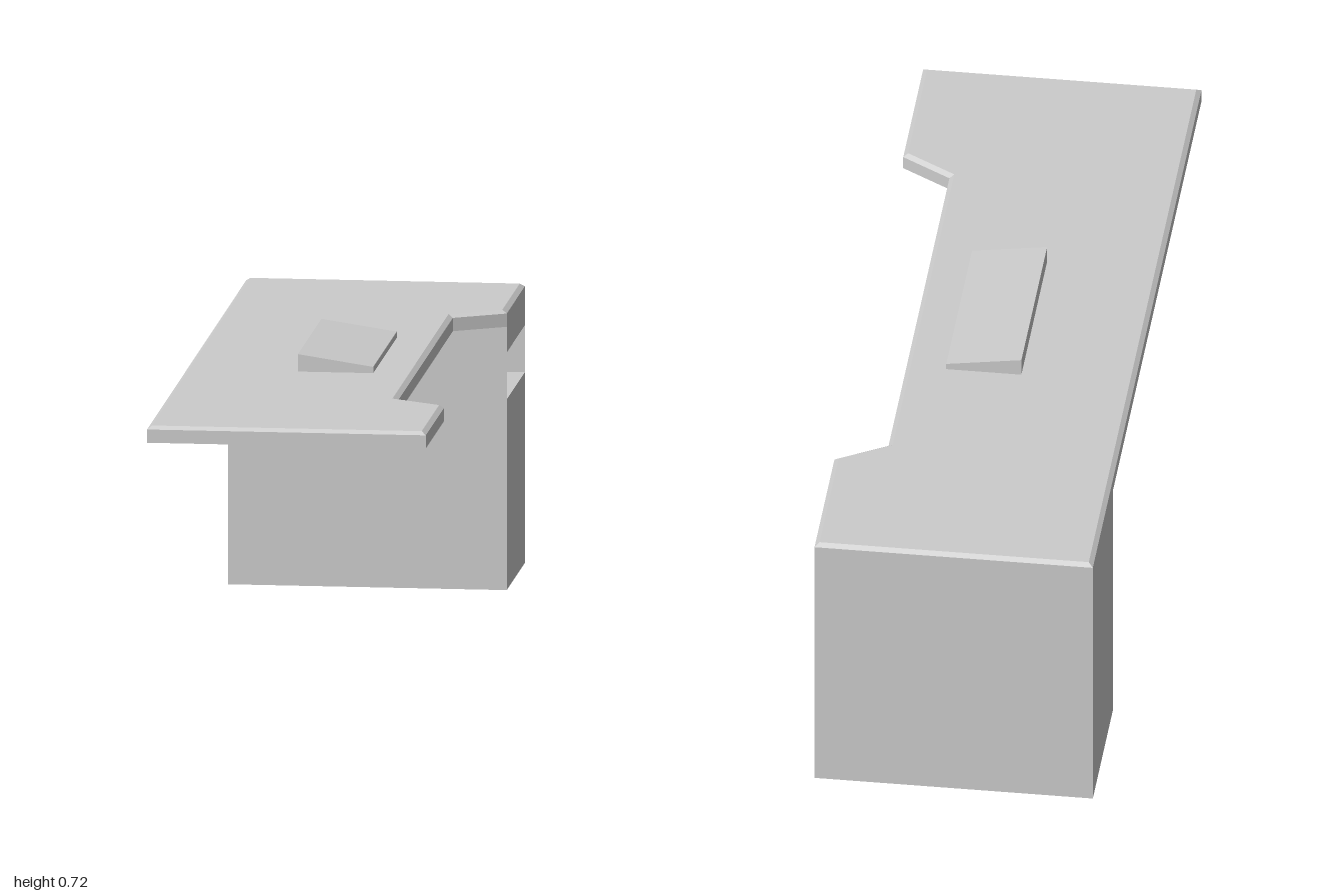
import * as THREE from 'three';

const material = new THREE.MeshStandardMaterial({ color: 0xcccccc, flatShading: true });

function addMesh(parent, name, geometry) {
  const mesh = new THREE.Mesh(geometry, material);
  mesh.name = name;
  parent.add(mesh);
  return mesh;
}

// Desk outline as (x, -z), counter-clockwise from above; inset narrows it for the bevel.
function deskOutline(inset) {
  const outer = 0.333 - inset, inner = 0.213 - inset, end = 1 - inset;
  const a = 0.633 + inset * 0.56, b = 0.56 + inset * 0.56;
  const right = [[outer, end], [outer, a], [inner, b]];
  return [
    [-outer, -end],
    ...right.map(([x, z]) => [x, -z]),
    ...right.slice().reverse(),
    [-outer, end],
  ].map(([x, y]) => new THREE.Vector2(x, y));
}

// Closed solid from stacked outlines: levels = [[height, outline], ...].
function loft(levels) {
  const positions = [];
  const put = (level, i) => {
    const [y, outline] = levels[level];
    const p = outline[i % outline.length];
    positions.push(p.x, y, -p.y);
  };
  const last = levels.length - 1;
  for (let l = 0; l < last; l++) {
    for (let i = 0; i < levels[l][1].length; i++) {
      put(l, i); put(l, i + 1); put(l + 1, i + 1);
      put(l, i); put(l + 1, i + 1); put(l + 1, i);
    }
  }
  for (const [a, b, c] of THREE.ShapeUtils.triangulateShape(levels[0][1], [])) {
    put(0, c); put(0, b); put(0, a);
    put(last, a); put(last, b); put(last, c);
  }
  const geometry = new THREE.BufferGeometry();
  geometry.setAttribute('position', new THREE.Float32BufferAttribute(positions, 3));
  geometry.computeVertexNormals();
  return geometry;
}

// Side profile in x and y, extruded between two z positions.
function extrudeProfile(points, z0, z1) {
  const shape = new THREE.Shape(points.map(([x, y]) => new THREE.Vector2(x, y)));
  const geometry = new THREE.ExtrudeGeometry(shape, { depth: z1 - z0, bevelEnabled: false });
  return geometry.translate(0, 0, z0);
}

export function createModel() {
  const desk = new THREE.Group();
  desk.name = 'desk';

  // Tabletop with a knee cut-out and a fine bevel on the upper edge
  addMesh(desk, 'tabletop', loft([
    [0.635, deskOutline(0)],
    [0.667, deskOutline(0)],
    [0.675, deskOutline(0.011)],
  ]));

  // Cabinet under one end, with an open compartment on its +x side
  const back = -1, front = -0.633, w = 0.333;
  const shelfY = 0.46, ceilingY = 0.573, nicheBack = -0.2;
  const cabinet = new THREE.Group();
  cabinet.name = 'cabinet';
  desk.add(cabinet);
  addMesh(cabinet, 'cabinetBody', extrudeProfile([
    [-w, 0], [w, 0], [w, shelfY], [nicheBack, shelfY],
    [nicheBack, ceilingY], [w, ceilingY], [w, 0.635], [-w, 0.635],
  ], back, front));

  // Thin walls closing both ends of the compartment
  const t = 0.002;
  for (const z of [back + t / 2, front - t / 2]) {
    const wall = addMesh(cabinet, 'compartmentWall',
      new THREE.BoxGeometry(w - nicheBack, ceilingY - shelfY, t));
    wall.position.set((w + nicheBack) / 2, (shelfY + ceilingY) / 2, z);
  }

  // Sloping keyboard wedge on the tabletop
  addMesh(desk, 'keyboardWedge', extrudeProfile([
    [-0.063, 0.675], [0.117, 0.675], [0.117, 0.69], [-0.063, 0.717],
  ], -0.238, 0.236));

  return desk;
}
